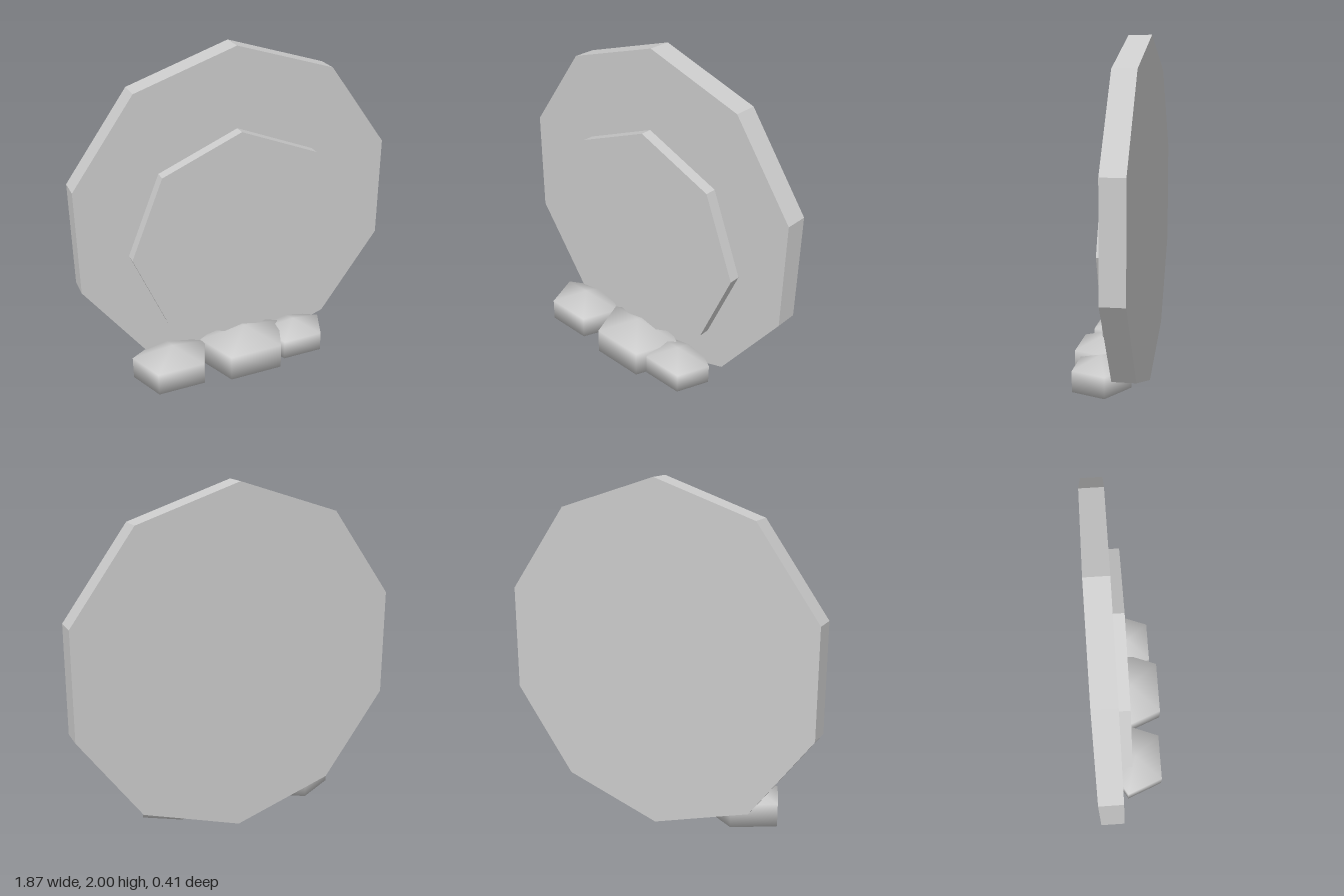
import * as THREE from 'three';
import { toCreasedNormals } from 'three/addons/utils/BufferGeometryUtils.js';

export function createModel() {
  const model = new THREE.Group();
  const stone = new THREE.MeshStandardMaterial({ color: 0xcccccc });
  stone.name = 'stone grey';

  function add(name, geometry, x, y, z) {
    const mesh = new THREE.Mesh(geometry, stone);
    mesh.name = name;
    mesh.position.set(x, y, z);
    model.add(mesh);
  }

  // Upright polygonal slab with crisp edges, spanning zBack to zFront
  function slab(name, radius, sides, y, zBack, zFront) {
    const disc = new THREE.CylinderGeometry(radius, radius, zFront - zBack, sides);
    disc.rotateX(Math.PI / 2);
    add(name, toCreasedNormals(disc, 0.3), 0, y, (zBack + zFront) / 2);
  }
  slab('backSlab', 0.985, 10, 1.015, -0.205, -0.075);
  slab('frontPanel', 0.655, 8, 0.885, -0.075, -0.01);

  // Smooth five-sided pebbles at the foot, a flat side facing forward
  function pebble(name, x, height) {
    const rock = new THREE.SphereGeometry(1, 5, 3);
    rock.rotateY(-Math.PI / 2);
    rock.scale(height * 2.03, height, height * 1.66);
    add(name, rock, x, 0.16, 0.025);
  }
  pebble('middlePebble', 0, 0.155);
  pebble('rightPebble', -0.46, 0.135);
  pebble('leftPebble', 0.327, 0.118);

  return model;
}
